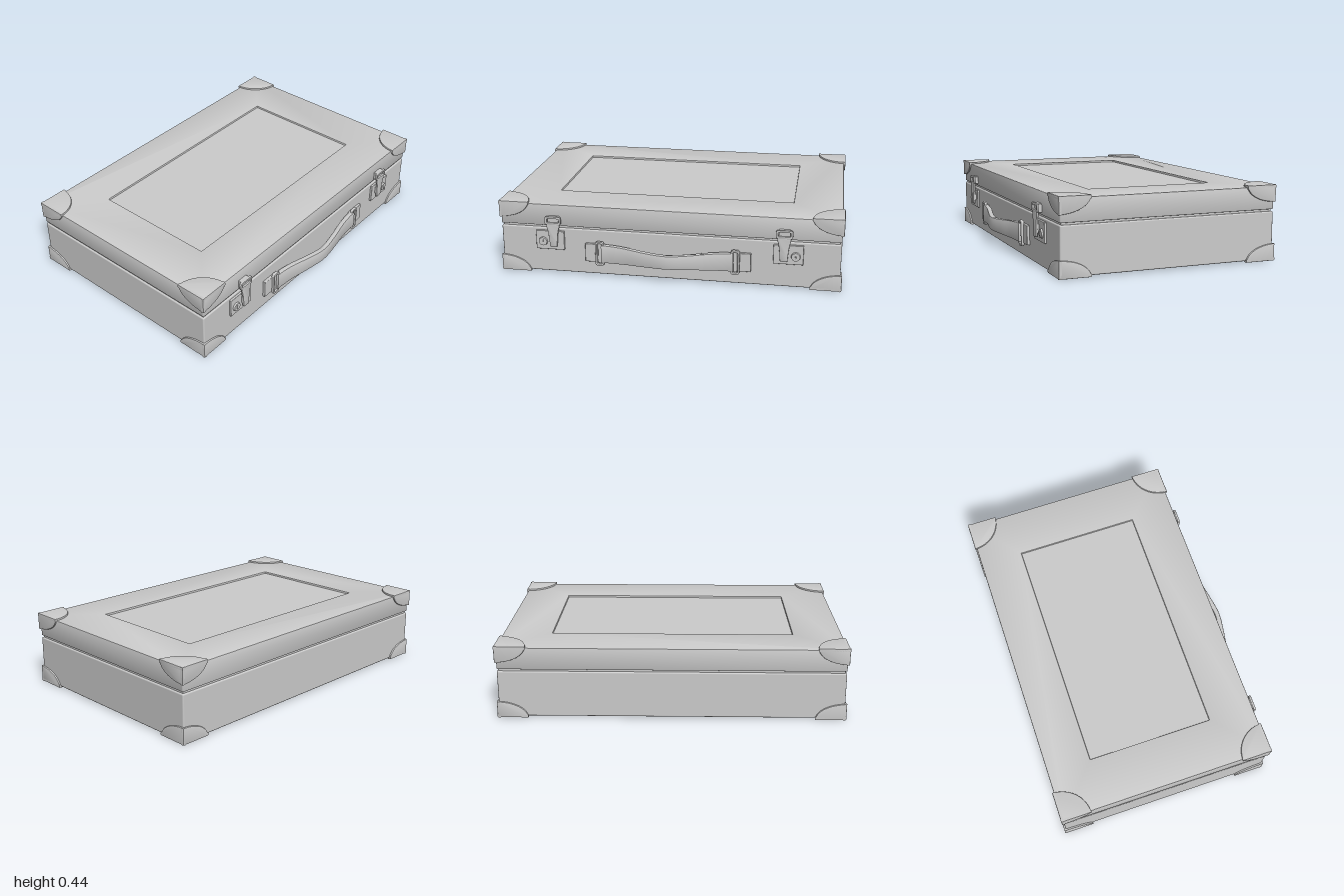
import * as THREE from 'three';
import { RoundedBoxGeometry } from 'three/addons/geometries/RoundedBoxGeometry.js';
import { toCreasedNormals } from 'three/addons/utils/BufferGeometryUtils.js';

const material = new THREE.MeshStandardMaterial({ color: 0xcccccc });
const ZC = -0.0425; // middle of the case, the handle sits in front of it

function add(parent, name, geometry, x = 0, y = 0, z = 0) {
  const mesh = new THREE.Mesh(geometry, material);
  mesh.name = name;
  mesh.position.set(x, y, z);
  parent.add(mesh);
  return mesh;
}

function box(w, h, d, r = 0.004) {
  return new RoundedBoxGeometry(w, h, d, 3, r);
}

// Rounded rectangle centred on the origin, usable as outline or hole
function roundedRect(w, h, r, Type = THREE.Shape) {
  const s = new Type(), x = w / 2, y = h / 2;
  s.moveTo(-x + r, -y);
  s.lineTo(x - r, -y).quadraticCurveTo(x, -y, x, -y + r);
  s.lineTo(x, y - r).quadraticCurveTo(x, y, x - r, y);
  s.lineTo(-x + r, y).quadraticCurveTo(-x, y, -x, y - r);
  s.lineTo(-x, -y + r).quadraticCurveTo(-x, -y, -x + r, -y);
  return s;
}

// Bevelled plate of a given total depth, centred on its depth axis
function plate(shape, depth, bevel = 0.003) {
  const g = new THREE.ExtrudeGeometry(shape, {
    depth: depth - 2 * bevel, bevelThickness: bevel, bevelSize: bevel,
    bevelOffset: -bevel, bevelSegments: 2, curveSegments: 16,
  });
  g.translate(0, 0, -depth / 2 + bevel);
  return toCreasedNormals(g, 0.7);
}

// Quarter ellipse whose square corner is at the origin, reaching to (a, b)
function quarterEllipse(a, b) {
  const points = [new THREE.Vector2(0, 0)];
  for (let i = 0; i <= 16; i++) {
    const t = (i / 16) * Math.PI / 2;
    points.push(new THREE.Vector2(a * Math.cos(t), b * Math.sin(t)));
  }
  return new THREE.Shape(points);
}

// Three curved plates meeting at one corner of the case
function cornerGuard(sx, sy, sz) {
  const g = new THREE.Group(), t = 0.022, bevel = 0.006;
  const a = -sx * 0.178, b = -sy * 0.098, c = -sz * 0.182;
  g.name = 'cornerGuard';
  add(g, 'guardFaceZ', plate(quarterEllipse(a, b), t, bevel), 0, 0, -sz * t / 2);
  add(g, 'guardFaceX', plate(quarterEllipse(c, b), t, bevel).rotateY(-Math.PI / 2), -sx * t / 2, 0, 0);
  add(g, 'guardFaceY', plate(quarterEllipse(a, c), t, bevel).rotateX(Math.PI / 2), 0, -sy * t / 2, 0);
  g.position.set(sx, sy > 0 ? 0.435 : 0, ZC + sz * 0.6475);
  return g;
}

function latch(side) {
  const g = new THREE.Group();
  g.name = side > 0 ? 'leftLatch' : 'rightLatch';
  add(g, 'latchPlate', box(0.17, 0.115, 0.016, 0.003), side * 0.695, 0.208, 0.6);
  // Round lock with a key slot
  const disc = new THREE.CylinderGeometry(0.024, 0.027, 0.012, 32).rotateX(Math.PI / 2);
  add(g, 'lockButton', disc, side * 0.737, 0.2, 0.612);
  add(g, 'keySlot', box(0.006, 0.026, 0.004, 0.001), side * 0.737, 0.2, 0.618);
  // Tapered hasp bridging the seam
  const s = new THREE.Shape();
  s.moveTo(-0.038, 0.32);
  s.lineTo(-0.038, 0.295);
  s.quadraticCurveTo(-0.027, 0.27, -0.022, 0.18);
  s.quadraticCurveTo(-0.02, 0.172, -0.012, 0.172);
  s.lineTo(0.012, 0.172);
  s.quadraticCurveTo(0.02, 0.172, 0.022, 0.18);
  s.quadraticCurveTo(0.027, 0.27, 0.038, 0.295);
  s.lineTo(0.038, 0.32);
  add(g, 'hasp', plate(s, 0.012), side * 0.67, 0, 0.621);
  add(g, 'haspPivot', box(0.046, 0.05, 0.022), side * 0.67, 0.22, 0.61);
  // Catch on the lid with the wire loop around it
  add(g, 'lidCatch', box(0.066, 0.05, 0.026), side * 0.67, 0.332, 0.604);
  const loop = roundedRect(0.096, 0.05, 0.014);
  loop.holes.push(roundedRect(0.07, 0.024, 0.006, THREE.Path));
  add(g, 'catchLoop', plate(loop, 0.014), side * 0.67, 0.335, 0.621);
  return g;
}

function handle() {
  const g = new THREE.Group();
  g.name = 'handle';
  // Curved strap: plan outline offset from a bowed centre line
  const curve = new THREE.SplineCurve([
    [-0.385, 0.615], [-0.33, 0.617], [-0.24, 0.628], [-0.12, 0.652], [0, 0.668],
    [0.12, 0.652], [0.24, 0.628], [0.33, 0.617], [0.385, 0.615],
  ].map(([x, z]) => new THREE.Vector2(x, z)));
  const outer = [], inner = [];
  for (let i = 0; i <= 48; i++) {
    const p = curve.getPoint(i / 48), t = curve.getTangent(i / 48);
    const n = new THREE.Vector2(-t.y, t.x).multiplyScalar(0.015);
    outer.push(p.clone().add(n));
    inner.unshift(p.clone().sub(n));
  }
  const strap = plate(new THREE.Shape([...inner, ...outer]), 0.11, 0.006).rotateX(Math.PI / 2);
  // Narrow the grip toward its middle
  const pos = strap.attributes.position;
  for (let i = 0; i < pos.count; i++) {
    const k = Math.cos(Math.min(1, Math.abs(pos.getX(i)) / 0.385) * Math.PI / 2) ** 2;
    pos.setY(i, pos.getY(i) * (1 - 0.26 * k) - 0.006 * k);
  }
  add(g, 'strap', strap, 0, 0.147, 0);
  // End tabs and the metal rings that hold the strap
  for (const side of [-1, 1]) {
    add(g, 'endTab', box(0.12, 0.112, 0.022), side * 0.425, 0.145, 0.6);
    const ring = roundedRect(0.052, 0.15, 0.018);
    ring.holes.push(roundedRect(0.03, 0.124, 0.01, THREE.Path));
    add(g, 'ring', plate(ring, 0.02, 0.004), side * 0.396, 0.146, 0.616);
    add(g, 'ringBar', box(0.022, 0.122, 0.02, 0.006), side * 0.396, 0.146, 0.607);
  }
  return g;
}

export function createModel() {
  const model = new THREE.Group();
  model.name = 'briefcase';

  // Lower shell and the inset core that shows in the seam
  add(model, 'lowerShell', box(1.98, 0.274, 1.275, 0.008), 0, 0.145, ZC);
  add(model, 'seamCore', new THREE.BoxGeometry(1.96, 0.05, 1.255), 0, 0.288, ZC);

  // Lid frame with its opening, and the sunken panel
  const lid = roundedRect(1.98, 1.275, 0.008);
  const opening = new THREE.Path();
  const pw = 0.703, z0 = -0.42 - ZC, z1 = 0.325 - ZC;
  opening.moveTo(-pw, z0).lineTo(-pw, z1).lineTo(pw, z1).lineTo(pw, z0).closePath();
  lid.holes.push(opening);
  add(model, 'lid', plate(lid, 0.13, 0.005).rotateX(Math.PI / 2), 0, 0.359, ZC);
  add(model, 'lidPanel', new THREE.BoxGeometry(1.43, 0.11, 0.77), 0, 0.357, -0.0475);

  // Metal guards on all eight corners
  for (const sx of [-1, 1]) for (const sy of [-1, 1]) for (const sz of [-1, 1]) {
    model.add(cornerGuard(sx, sy, sz));
  }

  model.add(latch(-1), latch(1), handle());
  return model;
}
